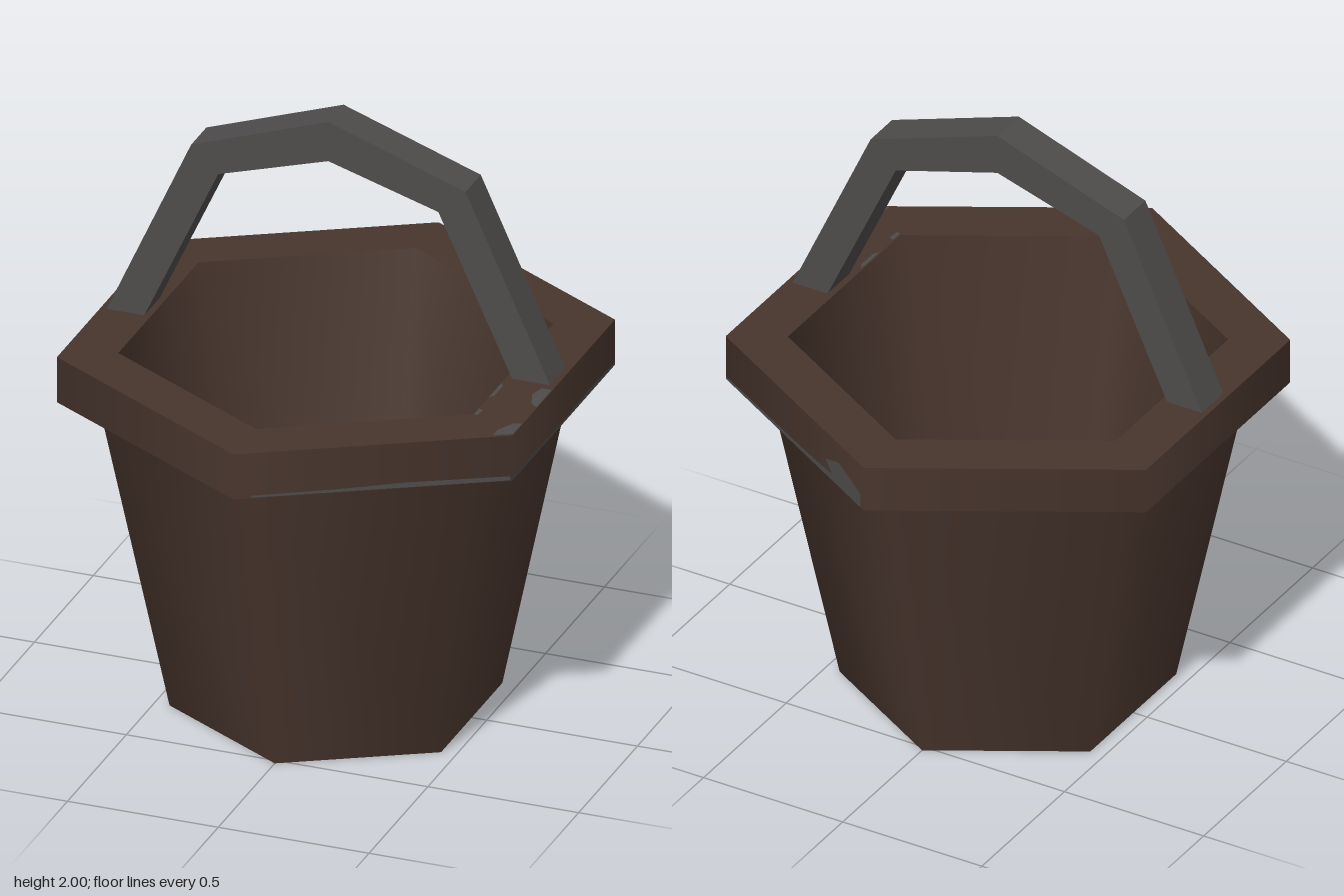
import * as THREE from 'three';

export function createModel() {
  const model = new THREE.Group();
  const wood = new THREE.MeshStandardMaterial({ name: 'darkWood', color: 0x48352d });
  const metal = new THREE.MeshStandardMaterial({ name: 'greyMetal', color: 0x4e4c4b });

  const add = (name, geometry, material, parent = model) => {
    const mesh = new THREE.Mesh(geometry, material);
    mesh.name = name;
    parent.add(mesh);
    return mesh;
  };

  // Six-sided bucket: each profile run is its own lathe, so horizontal edges stay sharp
  const bottomY = 1.07, topY = 1.225, floorY = 0.08;
  const profile = [
    ['base', 0, 0],
    ['outerWall', 0.52, 0],
    ['rimUnderside', 0.745, bottomY],
    ['rimSide', 0.872, bottomY],
    ['rimTop', 0.872, topY],
    ['innerWall', 0.68, topY],
    ['innerFloor', 0.44, floorY],
    ['end', 0, floorY],
  ];
  const bucket = new THREE.Group();
  bucket.name = 'bucket';
  model.add(bucket);
  for (let i = 0; i < profile.length - 1; i++) {
    const run = [profile[i], profile[i + 1]].map(([, r, y]) => new THREE.Vector2(r, y));
    add(profile[i][0], new THREE.LatheGeometry(run, 6), wood, bucket);
  }

  // Angular handle standing on the rim
  const outer = [[0.735, topY], [0.455, 1.84], [0, 2]];
  const inner = [[0, 1.865], [0.365, 1.755], [0.61, topY]];
  const mirror = (pts) => pts.map(([x, y]) => [-x, y]).reverse();
  const outline = [...outer, ...mirror(outer).slice(1), ...mirror(inner), ...inner.slice(1)];
  const handleShape = new THREE.Shape(outline.map(([x, y]) => new THREE.Vector2(x, y)));
  const handle = new THREE.ExtrudeGeometry(handleShape, { depth: 0.13, bevelEnabled: false });
  handle.translate(0, 0, -0.065);
  add('handle', handle, metal);

  // Worn metal marks, laid as thin faces just off the rim
  const patch = (pts) => new THREE.ShapeGeometry(
    new THREE.Shape(pts.map(([x, y]) => new THREE.Vector2(x, y))));
  const wearOnSide = (degrees, pts) => {
    const mesh = add('rimSideWear', patch(pts), metal);
    mesh.rotation.y = THREE.MathUtils.degToRad(degrees);
    mesh.position.set(Math.sin(mesh.rotation.y), 0, Math.cos(mesh.rotation.y)).multiplyScalar(0.758);
  };
  wearOnSide(30, [[-0.38, 1.073], [0.43, 1.073], [0.43, 1.087], [0.1, 1.09], [-0.1, 1.083], [-0.38, 1.08]]);
  wearOnSide(90, [[-0.43, 1.073], [0.43, 1.073], [0.43, 1.083], [0.2, 1.09], [0, 1.082], [-0.43, 1.09]]);
  wearOnSide(150, [[-0.43, 1.073], [0.42, 1.073], [0.42, 1.12], [0.36, 1.14], [0.28, 1.16],
    [0.2, 1.13], [0.24, 1.095], [0.1, 1.088], [-0.43, 1.083]]);

  const wearOnTop = (pts) => {
    const mesh = add('rimTopWear', patch(pts.map(([x, z]) => [x, -z])), metal);
    mesh.rotation.x = -Math.PI / 2;
    mesh.position.y = topY + 0.003;
  };
  wearOnTop([[0.755, 0.1], [0.755, 0.23], [0.73, 0.21], [0.71, 0.15], [0.72, 0.1]]);
  wearOnTop([[0.755, 0.35], [0.755, 0.43], [0.7, 0.46], [0.7, 0.42], [0.73, 0.36]]);
  wearOnTop([[0.592, 0.11], [0.604, 0.13], [0.604, 0.2], [0.592, 0.22]]);
  wearOnTop([[0.592, 0.3], [0.608, 0.31], [0.605, 0.345], [0.592, 0.345]]);

  return model;
}
